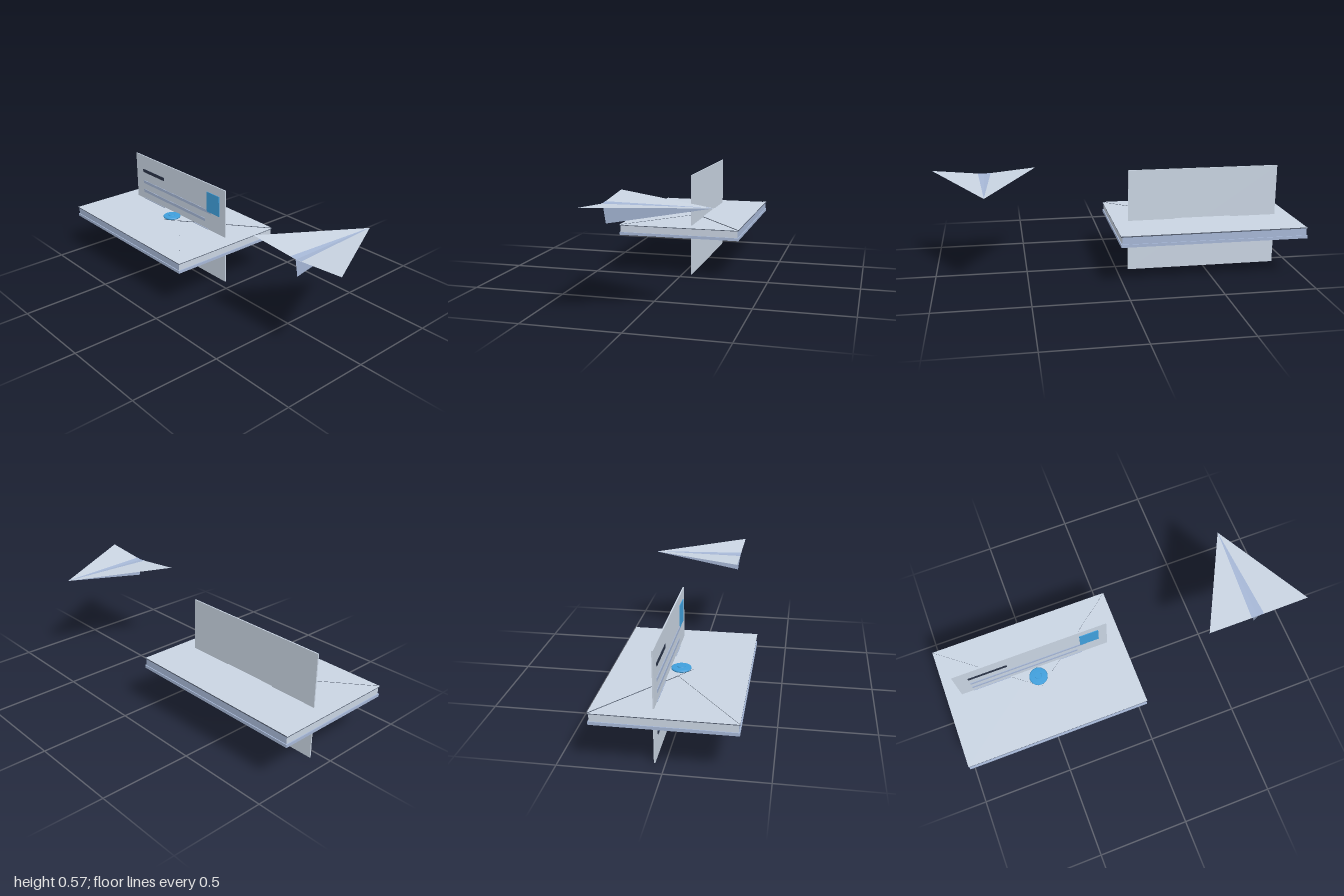
import * as THREE from 'three';

const mat = (name, color, side = THREE.FrontSide) => {
  const m = new THREE.MeshStandardMaterial({ color, side });
  m.name = name;
  return m;
};

export function createModel() {
  const root = new THREE.Group();
  const paper = mat('paper', 0xc9d4e2);
  const sheet = mat('foldedPaper', 0xc9d4e2, THREE.DoubleSide);
  const fold = mat('bluePaper', 0xa6b7d6);
  const foldSheet = mat('bluePaperSheet', 0xa6b7d6, THREE.DoubleSide);
  const blue = mat('blueAccent', 0x3f9fdc);
  const ink = mat('darkInk', 0x2a3448);
  const crease = mat('crease', 0x566072);

  const add = (parent, name, geometry, material, x = 0, y = 0, z = 0) => {
    const mesh = new THREE.Mesh(geometry, material);
    mesh.name = name;
    mesh.position.set(x, y, z);
    parent.add(mesh);
    return mesh;
  };
  const box = (w, h, d) => new THREE.BoxGeometry(w, h, d);
  const group = (name) => {
    const g = new THREE.Group();
    g.name = name;
    root.add(g);
    return g;
  };

  // Envelope: base, pocket walls and four triangular flaps
  const envelope = group('envelope');
  envelope.position.set(-0.49, 0, 0.007);
  const hw = 0.51, hd = 0.344;
  add(envelope, 'envelopeBase', box(2 * hw, 0.016, 2 * hd), [fold, fold, fold, paper, fold, fold], 0, 0.236, 0);
  add(envelope, 'envelopeBody', box(2 * hw - 0.01, 0.04, 2 * hd - 0.01),
    [paper, paper, paper, paper, fold, fold], 0, 0.263, 0);

  // Each flap is drawn in x and z, then laid flat
  const flap = (name, points, y, thickness) => {
    const shape = new THREE.Shape(points.map(([x, z]) => new THREE.Vector2(x, -z)));
    const g = new THREE.ExtrudeGeometry(shape, { depth: thickness, bevelEnabled: false });
    g.rotateX(-Math.PI / 2);
    add(envelope, name, g, [paper, crease], 0, y, 0);
  };
  for (const s of [-1, 1]) {
    flap(s < 0 ? 'rightFlap' : 'leftFlap', [[s * hw, hd], [s * hw, -hd], [s * 0.03, 0]], 0.282, 0.004);
  }
  flap('frontFlap', [[-hw, hd], [hw, hd], [0, -0.065]], 0.283, 0.005);
  flap('backFlap', [[hw, -hd], [-hw, -hd], [0, 0.06]], 0.284, 0.006);

  // Round seal with a rounded rim and raised button
  const rim = [[0, 0], [0.048, 0], [0.051, 0.004], [0.05, 0.009], [0.045, 0.012], [0, 0.012]]
    .map(([x, y]) => new THREE.Vector2(x, y));
  add(envelope, 'seal', new THREE.LatheGeometry(rim, 32), blue, 0, 0.29, 0);
  add(envelope, 'sealButton', new THREE.CylinderGeometry(0.018, 0.02, 0.005, 24), blue, 0, 0.304, 0);

  // Upright letter passing through the envelope
  const letter = group('letter');
  letter.position.set(-0.49, 0, -0.051);
  add(letter, 'letterSheet', box(0.85, 0.573, 0.007), paper, 0, 0.2865, 0);
  const mark = (name, left, width, y, height, material, depth = 0.003) =>
    add(letter, name, box(width, height, depth), material, left + width / 2, y, 0.0035 + depth / 2);
  mark('headline', -0.355, 0.215, 0.475, 0.02, ink);
  [[0.4, 0.66], [0.34, 0.605], [0.28, 0.63], [0.22, 0.45]].forEach(([y, w], i) =>
    mark('writingLine' + (i + 1), -0.355, w, y, 0.018, fold));
  mark('signature', -0.355, 0.18, 0.122, 0.02, ink);
  mark('stamp', 0.27, 0.107, 0.461, 0.122, blue, 0.004);

  // Paper plane: folded sheets as triangles around the centre crease
  const plane = group('paperPlane');
  plane.position.x = 0.712;
  const triangle = (name, corners, material) => {
    const g = new THREE.BufferGeometry();
    g.setAttribute('position', new THREE.Float32BufferAttribute(corners.flat(), 3));
    g.computeVertexNormals();
    add(plane, name, g, material);
  };
  const nose = [0, 0.527, -0.352], tail = [0, 0.527, 0.186];
  for (const s of [-1, 1]) {
    const side = s < 0 ? 'right' : 'left';
    const order = (a, b, c) => (s < 0 ? [a, b, c] : [a, c, b]);
    triangle(side + 'Wing', order(nose, [s * 0.286, 0.553, 0.193], tail), sheet);
    // Blue fold strip lying on the wing
    triangle(side + 'FoldStrip', order([0, 0.5285, -0.35], [s * 0.036, 0.532, 0.187], [0, 0.5285, 0.186]), foldSheet);
    // Keel side, slightly open at the tail
    triangle(side + 'Keel', order(nose, [s * 0.003, 0.527, 0.186], [0, 0.431, 0.172]), foldSheet);
  }
  return root;
}
